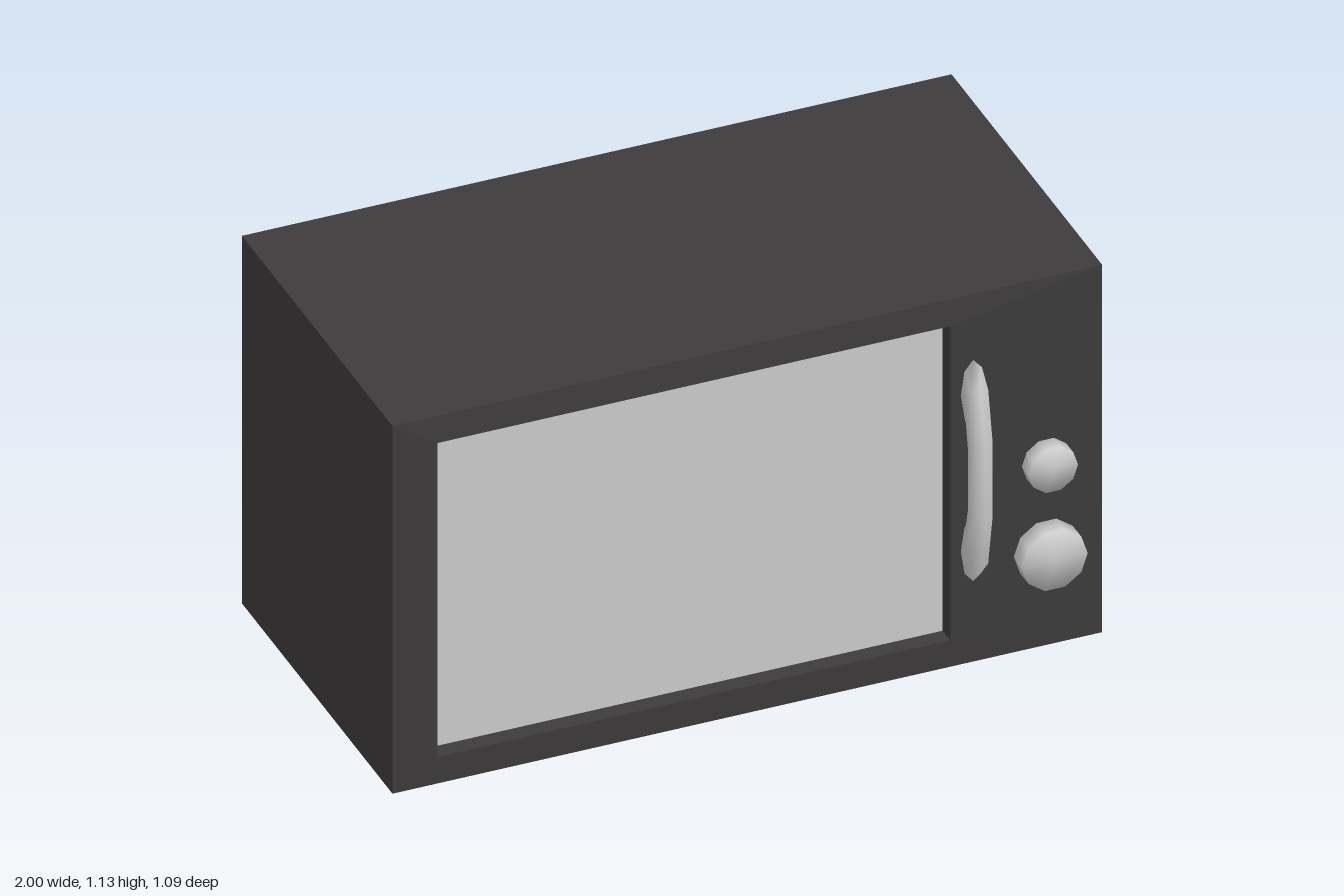
import * as THREE from 'three';
import { mergeVertices } from 'three/addons/utils/BufferGeometryUtils.js';

const dark = new THREE.MeshStandardMaterial({ color: 0x3d3b3c });
const grey = new THREE.MeshStandardMaterial({ color: 0xcccccc });

function part(name, geometry, material) {
  const mesh = new THREE.Mesh(geometry, material);
  mesh.name = name;
  return mesh;
}

// Skin a list of closed loops of points, with optional flat caps at the ends
function loft(loops, capStart, capEnd) {
  const n = loops[0].length, index = [];
  for (let i = 0; i < loops.length - 1; i++) {
    for (let k = 0; k < n; k++) {
      const a = i * n + k, b = i * n + (k + 1) % n;
      index.push(a, b, b + n, a, b + n, a + n);
    }
  }
  const last = (loops.length - 1) * n;
  for (let k = 1; k < n - 1; k++) {
    if (capStart) index.push(0, k + 1, k);
    if (capEnd) index.push(last, last + k, last + k + 1);
  }
  const g = new THREE.BufferGeometry();
  g.setAttribute('position', new THREE.Float32BufferAttribute(loops.flat(2), 3));
  g.setIndex(index);
  return g;
}

// Casing: back, front edge, slightly raised window rim, recessed window edge
function casing() {
  const rect = (x0, x1, y0, y1, z) => [[x0, y0, z], [x1, y0, z], [x1, y1, z], [x0, y1, z]];
  const g = loft([
    rect(-1, 1, 0, 1.13, -0.54),
    rect(-1, 1, 0, 1.13, 0.46),
    rect(-0.875, 0.57, 0.085, 1.05, 0.465),
    rect(-0.875, 0.57, 0.085, 1.05, 0.415),
  ], true, false).toNonIndexed();
  g.computeVertexNormals();
  return g;
}

// Arched handle: each section runs from an inner to an outer point (y, z)
function handle() {
  const midY = 0.59, midX = 0.635, halfWidth = 0.035, sides = 8;
  const half = [
    [0.15, 0.455, 0.35, 0.455],
    [0.135, 0.467, 0.29, 0.512],
    [0.1, 0.478, 0.105, 0.545],
  ];
  const mirrored = half.map(([yi, zi, yo, zo]) => [-yi, zi, -yo, zo]).reverse();
  const loops = [...half, ...mirrored].map(([yi, zi, yo, zo]) =>
    Array.from({ length: sides }, (_, k) => {
      const t = k / sides * Math.PI * 2, s = (1 + Math.cos(t)) / 2;
      return [midX - halfWidth * Math.sin(t), midY + yi + (yo - yi) * s, zi + (zo - zi) * s];
    }));
  const g = loft(loops, true, true);
  g.computeVertexNormals();
  return g;
}

// Ten-sided knob with softly shaded edges
function knob(radius, y, front) {
  const back = 0.45;
  let g = new THREE.CylinderGeometry(radius, radius, front - back, 10, 1, false, Math.PI / 2);
  g.rotateX(Math.PI / 2).translate(0.842, y, (front + back) / 2);
  g.deleteAttribute('normal');
  g.deleteAttribute('uv');
  g = mergeVertices(g, 1e-4);
  g.computeVertexNormals();
  return g;
}

export function createModel() {
  const model = new THREE.Group();
  model.name = 'microwave';
  const glass = new THREE.PlaneGeometry(1.445, 0.965).translate(-0.1525, 0.5675, 0.415);
  model.add(
    part('casing', casing(), dark),
    part('window', glass, grey),
    part('handle', handle(), grey),
    part('upperKnob', knob(0.069, 0.567, 0.51), grey),
    part('lowerKnob', knob(0.092, 0.295, 0.52), grey),
  );
  return model;
}
